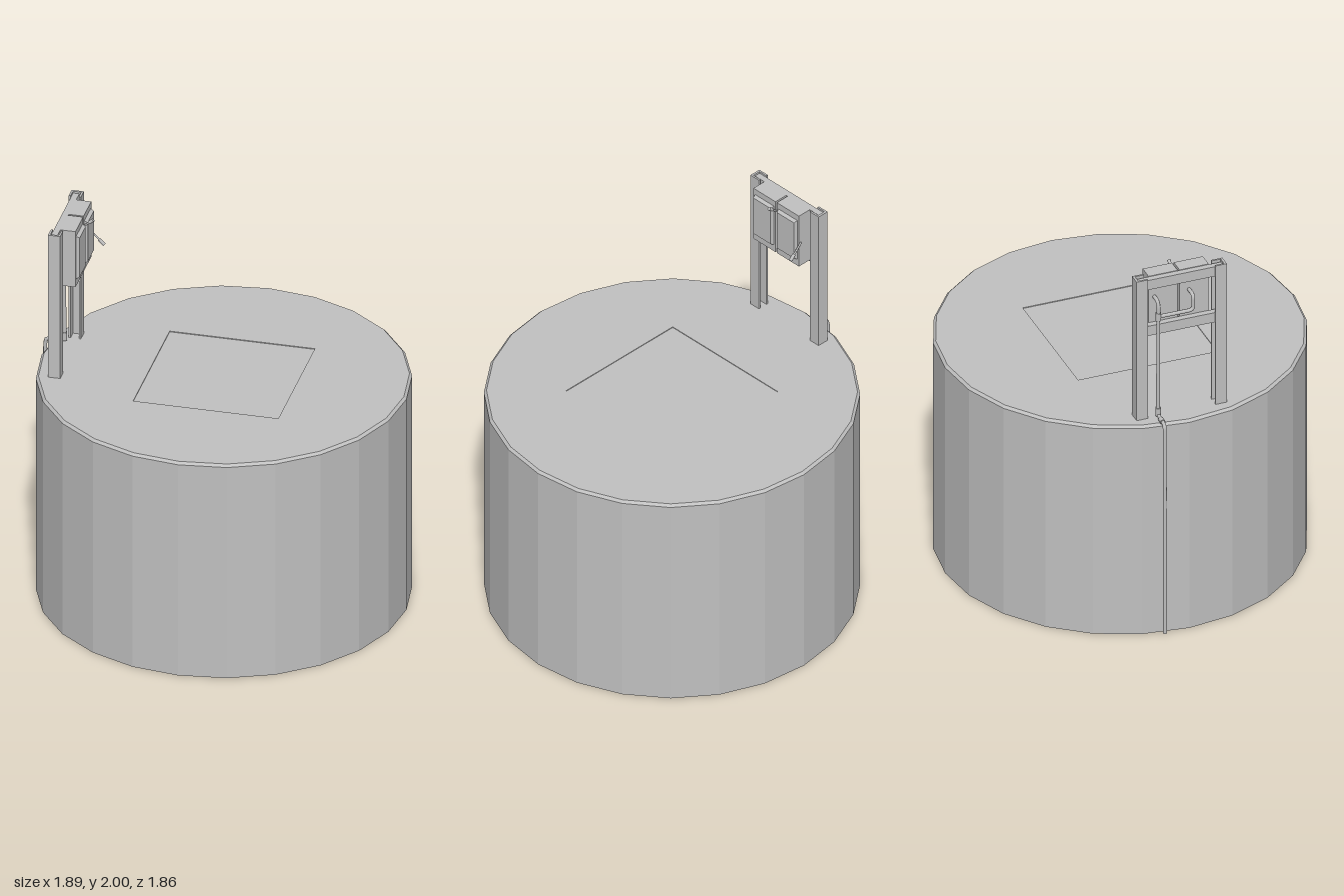
import * as THREE from 'three';

export function createModel() {
  const model = new THREE.Group();
  model.name = 'storageTank';
  const steel = new THREE.MeshStandardMaterial({ color: 0xc0c0c0, side: THREE.DoubleSide });
  steel.name = 'grey steel';

  const add = (name, geometry, parent = model) => {
    const mesh = new THREE.Mesh(geometry, steel);
    mesh.name = name;
    parent.add(mesh);
    return mesh;
  };
  const flat = (geometry) => {
    const g = geometry.toNonIndexed();
    g.computeVertexNormals();
    return g;
  };
  // Box given by its limits on each axis
  const box = (name, x0, x1, y0, y1, z0, z1, parent = model) => {
    const mesh = add(name, new THREE.BoxGeometry(x1 - x0, y1 - y0, z1 - z0), parent);
    mesh.position.set((x0 + x1) / 2, (y0 + y1) / 2, (z0 + z1) / 2);
    return mesh;
  };
  // Pipe with short rounded bends between straight runs
  const pipe = (name, points, radius, bend = 0.025) => {
    const p = points.map((a) => new THREE.Vector3(...a));
    const path = new THREE.CurvePath();
    let start = p[0];
    for (let i = 1; i < p.length - 1; i++) {
      const before = p[i - 1].clone().sub(p[i]).setLength(bend).add(p[i]);
      const after = p[i + 1].clone().sub(p[i]).setLength(bend).add(p[i]);
      path.add(new THREE.LineCurve3(start, before));
      path.add(new THREE.QuadraticBezierCurve3(before, p[i], after));
      start = after;
    }
    path.add(new THREE.LineCurve3(start, p[p.length - 1]));
    return add(name, new THREE.TubeGeometry(path, 90, radius, 8));
  };
  // Straight rod between two points
  const rod = (name, from, to, radius) => {
    const a = new THREE.Vector3(...from), b = new THREE.Vector3(...to);
    const dir = b.clone().sub(a);
    const mesh = add(name, new THREE.CylinderGeometry(radius, radius, dir.length(), 8));
    mesh.position.copy(a).add(b).multiplyScalar(0.5);
    mesh.quaternion.setFromUnitVectors(new THREE.Vector3(0, 1, 0), dir.normalize());
    return mesh;
  };

  // Tank: faceted wall, open below, with a narrow bevel at the rim
  const cx = 0.013, sides = 24, top = 1.2, rimRadius = 0.917;
  const profile = [[0.93, 0], [0.93, 1.187], [rimRadius, top]].map((a) => new THREE.Vector2(...a));
  add('tankWall', flat(new THREE.LatheGeometry(profile, sides))).position.x = cx;

  // Roof with a shallow square hatch recess
  const half = 0.37, depth = 0.004;
  const roof = new THREE.Shape();
  for (let i = 0; i < sides; i++) {
    const a = (i / sides) * Math.PI * 2;
    roof[i ? 'lineTo' : 'moveTo'](Math.cos(a) * rimRadius, Math.sin(a) * rimRadius);
  }
  roof.closePath();
  roof.holes.push(new THREE.Path([[-half, -half], [-half, half], [half, half], [half, -half]]
    .map((a) => new THREE.Vector2(...a))));
  const roofMesh = add('tankRoof', new THREE.ExtrudeGeometry(roof, { depth, bevelEnabled: false }));
  roofMesh.rotation.x = -Math.PI / 2;
  roofMesh.position.set(cx, top - depth, 0);
  const hatch = add('hatchFloor', new THREE.PlaneGeometry(half * 2, half * 2));
  hatch.rotation.x = -Math.PI / 2;
  hatch.position.set(cx, top - depth, 0);

  // Stand: two channel posts opening towards each other, and two cross rails
  for (const s of [1, -1]) {
    const post = new THREE.Group();
    post.name = s > 0 ? 'frontPost' : 'backPost';
    const c = -0.005;
    const span = (a, b) => (s > 0 ? [c + a, c + b] : [c - b, c - a]);
    box('postWeb', -0.825, -0.763, top, 2, ...span(0.228, 0.24), post);
    box('postRearFlange', -0.825, -0.815, top, 2, ...span(0.18, 0.228), post);
    box('postFrontFlange', -0.773, -0.763, top, 2, ...span(0.18, 0.228), post);
    model.add(post);
  }
  box('upperRail', -0.815, -0.783, 1.935, 1.99, -0.233, 0.223);
  box('lowerRail', -0.815, -0.783, 1.67, 1.725, -0.233, 0.223);

  // Twin switch cabinets, each with a tapered door
  for (const [z0, z1] of [[0, 0.155], [-0.165, -0.01]]) {
    box('cabinet', -0.783, -0.705, 1.68, 1.993, z0, z1);
    const door = new THREE.CylinderGeometry(0.92 * Math.SQRT1_2, Math.SQRT1_2, 1, 4, 1);
    door.rotateY(Math.PI / 4);
    door.rotateZ(-Math.PI / 2);
    door.scale(0.017, 0.24, 0.132);
    add('cabinetDoor', flat(door)).position.set(-0.6965, 1.84, (z0 + z1) / 2);
  }

  // Switch levers with grips
  const lever = (x, y, ex, ey, z) => {
    rod('lever', [x, y, z], [ex, ey, z], 0.005);
    rod('leverGrip', [(x + ex * 2) / 3, (y + ey * 2) / 3, z], [ex, ey, z], 0.009);
  };
  lever(-0.715, 1.93, -0.655, 1.98, -0.006);
  lever(-0.715, 1.83, -0.64, 1.755, -0.172);

  // Conduits behind the cabinets, and the long one running down the tank
  pipe('mainConduit', [[-0.78, 1.87, -0.135], [-0.84, 1.87, -0.135], [-0.833, 1.215, -0.135],
    [-0.932, 1.212, -0.138], [-0.938, 0.9, -0.14], [-0.941, 0.015, -0.14]], 0.01);
  pipe('branchConduit', [[-0.78, 1.87, 0.05], [-0.84, 1.87, 0.05], [-0.84, 1.785, 0.05],
    [-0.839, 1.785, -0.135]], 0.01);
  for (const [x, y, z] of [[-0.839, 1.785, -0.135], [-0.835, 1.235, -0.135]]) {
    rod('conduitFitting', [x, y - 0.022, z], [x, y + 0.022, z], 0.015);
  }
  rod('elbowFitting', [-0.905, 1.213, -0.138], [-0.875, 1.214, -0.137], 0.014);

  return model;
}
